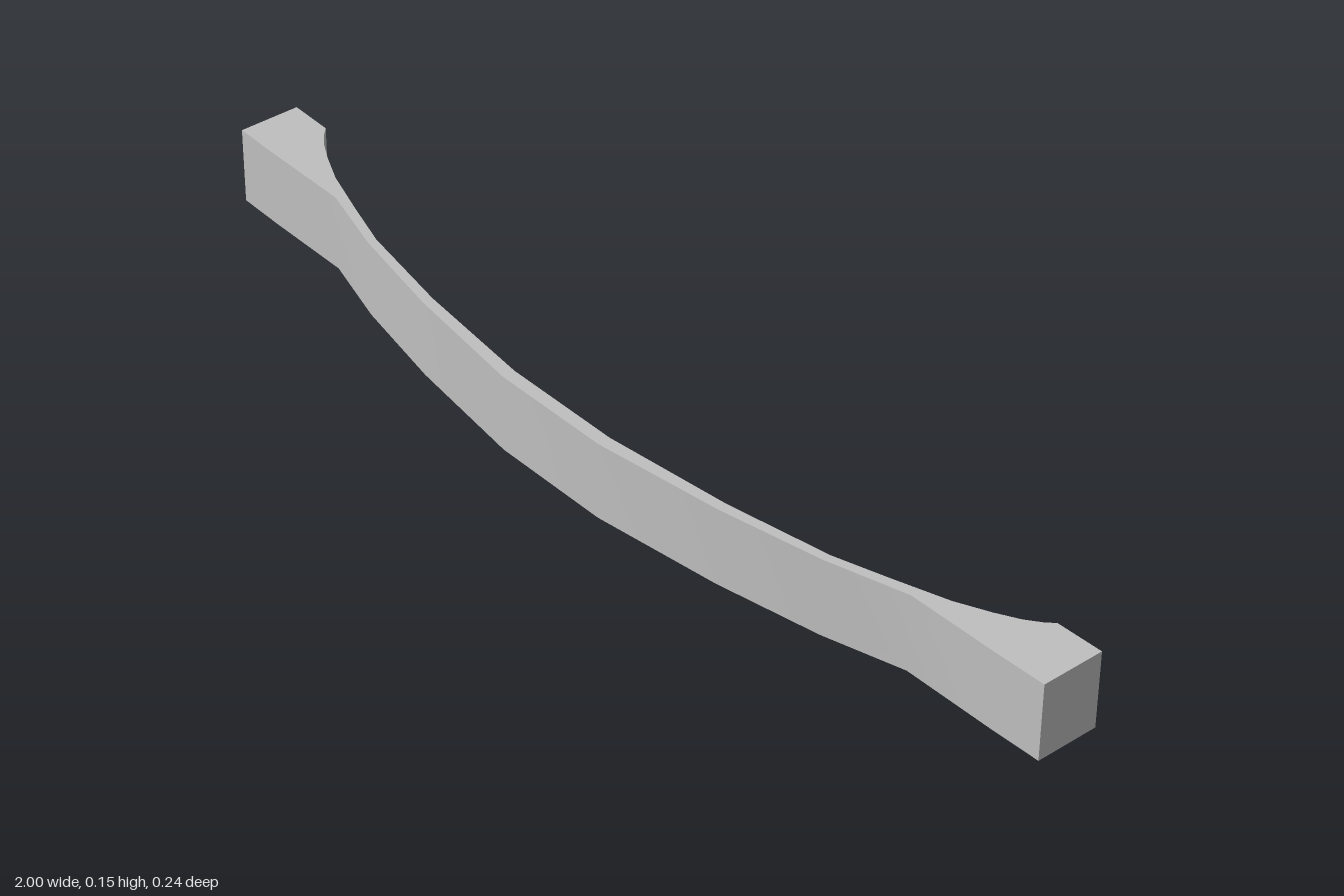
import * as THREE from 'three';
import { toCreasedNormals } from 'three/addons/utils/BufferGeometryUtils.js';

export function createModel() {
  const model = new THREE.Group();
  model.name = 'bowHandle';
  const metal = new THREE.MeshStandardMaterial({ color: 0xbfbfbf });
  metal.name = 'light grey metal';

  // Half outline seen from above, as [x, z], running from the middle outward
  const front = [[0.12, 0.119], [0.37, 0.087], [0.57, 0.048], [0.72, 0.005], [0.9, 0.003], [1, 0]];
  const back = [[0.12, 0.094], [0.37, 0.067], [0.57, 0.031], [0.67, 0], [0.77, -0.033],
    [0.83, -0.061], [0.87, -0.083], [0.895, -0.102], [0.91, -0.117], [1, -0.12]];
  const mirror = (points) => points.map(([x, z]) => [-x, z]);

  // Closed outline: front edge left to right, then back edge right to left
  const outline = [
    ...mirror(front).reverse(), ...front,
    ...[...back].reverse(), ...mirror(back),
  ].map(([x, z]) => new THREE.Vector2(x, -z));

  // Thin bowed grip with a thick foot at each end, extruded upward
  const geometry = new THREE.ExtrudeGeometry(new THREE.Shape(outline), { depth: 0.147, bevelEnabled: false });
  geometry.rotateX(-Math.PI / 2);
  const handle = new THREE.Mesh(toCreasedNormals(geometry, 0.45), metal);
  handle.name = 'handle';
  model.add(handle);
  return model;
}
